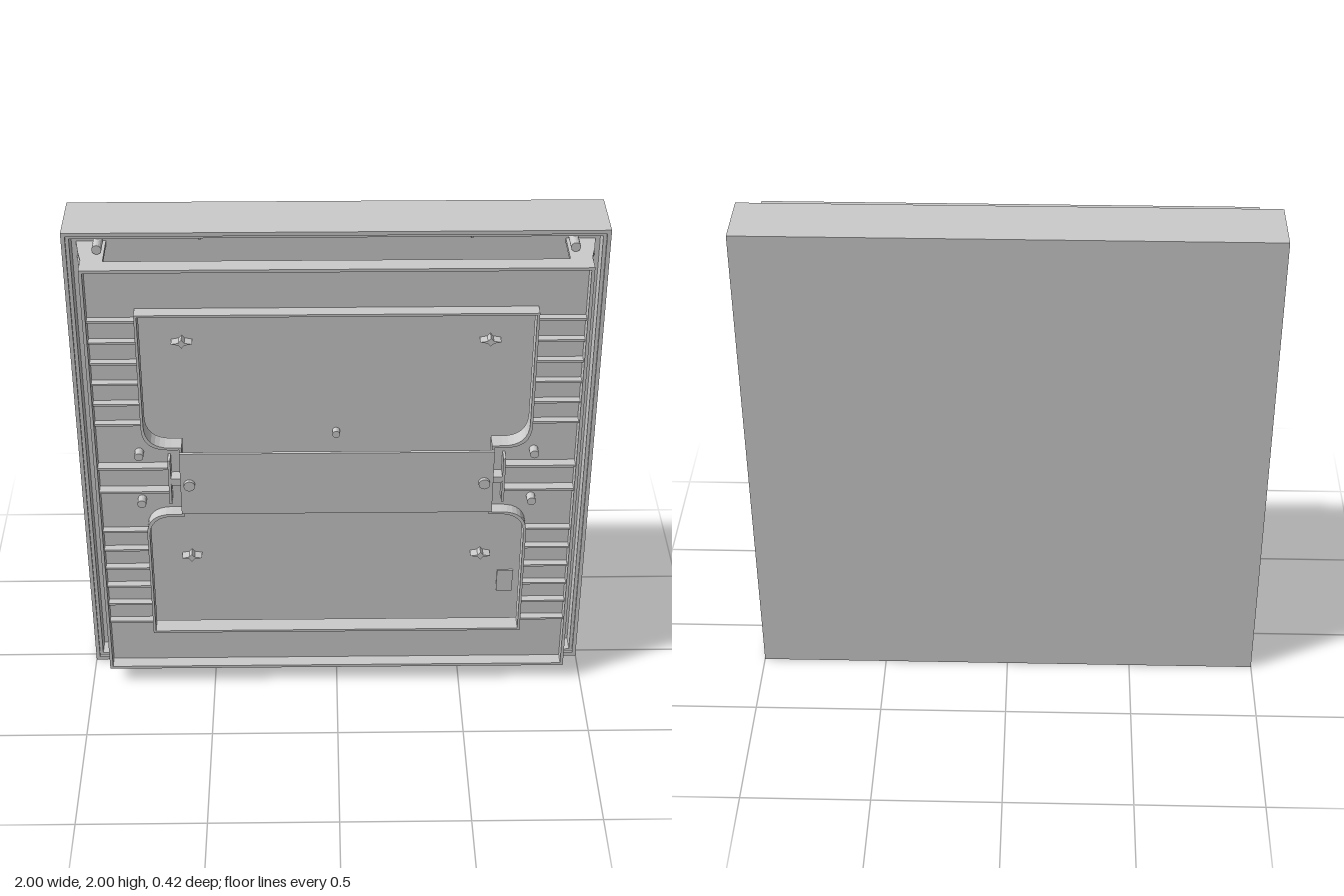
import * as THREE from 'three';

const material = new THREE.MeshStandardMaterial({ color: 0xcccccc, flatShading: true });
const SIDES = [-1, 1];
const FLOOR = -0.045; // inner face of the cover's back

export function createModel() {
  const model = new THREE.Group();
  model.name = 'coverWithMountingFrame';

  function add(name, geometry, x = 0, y = 0, z = 0) {
    const mesh = new THREE.Mesh(geometry, material);
    mesh.name = name;
    mesh.position.set(x, y, z);
    model.add(mesh);
    return mesh;
  }
  // Box given by its limits, in any order
  function box(name, x0, x1, y0, y1, z0, z1) {
    const g = new THREE.BoxGeometry(Math.abs(x1 - x0), Math.abs(y1 - y0), Math.abs(z1 - z0));
    return add(name, g, (x0 + x1) / 2, (y0 + y1) / 2, (z0 + z1) / 2);
  }
  // Cylinder along z
  function stud(name, x, y, z0, z1, r) {
    const g = new THREE.CylinderGeometry(r, r, z1 - z0, 16).rotateX(Math.PI / 2);
    return add(name, g, x, y, (z0 + z1) / 2);
  }
  function square(h) {
    return new THREE.Shape([[-h, -h], [h, -h], [h, h], [-h, h]].map(p => new THREE.Vector2(...p)));
  }
  // Band between two outlines, centred on y = 1
  function band(name, outer, inner, z0, z1) {
    outer.holes.push(inner);
    const g = new THREE.ExtrudeGeometry(outer, { depth: z1 - z0, bevelEnabled: false, curveSegments: 8 });
    return add(name, g, 0, 1, z0);
  }

  // Shallow cover: closed back, open front with a stepped edge
  box('coverBack', -1, 1, 0, 2, -0.21, FLOOR);
  band('coverWalls', square(1), square(0.985), FLOOR, 0.035);
  band('coverInnerStep', square(0.985), square(0.972), FLOOR, 0.025);

  // Waisted outline of the window through the frame
  function waisted(d) {
    const w = 0.74 - d, h = 0.74 - d, n = 0.6 - d, y = 0.15 + d, r = 0.1;
    const s = new THREE.Shape();
    s.moveTo(-w, h);
    s.lineTo(-w, y + r);
    s.quadraticCurveTo(-w, y, -w + r, y);
    s.lineTo(-n, y);
    s.lineTo(-n, -y);
    s.lineTo(-w + r, -y);
    s.quadraticCurveTo(-w, -y, -w, -y - r);
    s.lineTo(-w, -h);
    s.lineTo(w, -h);
    s.lineTo(w, -y - r);
    s.quadraticCurveTo(w, -y, w - r, -y);
    s.lineTo(n, -y);
    s.lineTo(n, y);
    s.lineTo(w - r, y);
    s.quadraticCurveTo(w, y, w, y + r);
    s.lineTo(w, h);
    return s;
  }

  // Mounting frame: open base plate, outer rim and window lip
  band('framePlate', square(0.92), waisted(0.006), 0.113, 0.13);
  band('frameRim', square(0.927), square(0.915), 0.113, 0.182);
  band('windowLip', waisted(0), waisted(0.01), 0.113, 0.182);

  // Thin crossbar bridging the window
  box('crossbar', -0.6, 0.6, 0.86, 1.14, 0.182, 0.195);

  for (const s of SIDES) {
    // Label pads in opposite corners of the cover floor
    box('labelPad', s * 0.725, s * 0.66, 1 - s * 0.605, 1 - s * 0.71, FLOOR, FLOOR + 0.008);
    // Floor studs behind the crossbar
    stud('floorStud', 0, 1 + s * 0.085, FLOOR, FLOOR + 0.03, 0.015);
  }

  // Four-pointed snap clips on the cover floor
  const star = new THREE.Shape();
  for (let i = 0; i < 8; i++) {
    const a = i * Math.PI / 4, r = i % 2 ? 0.016 : 0.04;
    const x = r * Math.cos(a), y = r * 0.45 * Math.sin(a);
    if (i) star.lineTo(x, y); else star.moveTo(x, y);
  }
  const starGeometry = new THREE.ExtrudeGeometry(star, { depth: 0.04, bevelEnabled: false });

  for (const sx of SIDES) {
    // Side ribs between rim and lip
    for (const sy of SIDES) {
      for (const d of [0.25, 0.34, 0.43, 0.52, 0.61, 0.7]) {
        const y = 1 + sy * d;
        box('sideRib', sx * 0.735, sx * 0.918, y - 0.004, y + 0.004, 0.128, 0.16);
      }
      box('latchRib', sx * 0.64, sx * 0.918, 1 + sy * 0.05, 1 + sy * 0.06, 0.128, 0.17);
      stud('screwBoss', sx * 0.755, 1 + sy * 0.11, 0.128, 0.17, 0.017);
      add('snapClip', starGeometry, sx * 0.585, 1 + sy * 0.505, FLOOR);
    }

    // Latch beside the crossbar, with its knob
    box('latchBlade', sx * 0.636, sx * 0.646, 0.9, 1.1, 0.105, 0.182);
    box('latchTongue', sx * 0.6, sx * 0.64, 0.985, 1.015, 0.13, 0.18);
    stud('latchKnob', sx * 0.565, 1, 0.19, 0.21, 0.022);
    stud('latchPin', sx * 0.54, 1, 0.105, 0.19, 0.012);

    // Corner legs joining the frame to the cover
    for (const sy of SIDES) {
      const Y = d => 1 + sy * d;
      box('cornerLegSide', sx * 0.91, sx * 0.927, Y(0.845), Y(0.927), FLOOR, 0.115);
      box('cornerLegEnd', sx * 0.845, sx * 0.927, Y(0.91), Y(0.927), FLOOR, 0.115);
      stud('cornerBoss', sx * 0.87, Y(0.945), FLOOR, 0.06, 0.018);

      // Tapered gusset outside each leg
      const fin = new THREE.Shape();
      fin.moveTo(sx * 0.925, 0.11);
      fin.lineTo(sx * 0.925, FLOOR);
      fin.lineTo(sx * 0.955, FLOOR);
      fin.lineTo(sx * 0.942, 0.035);
      const finGeometry = new THREE.ExtrudeGeometry(fin, { depth: 0.012, bevelEnabled: false });
      finGeometry.rotateX(Math.PI / 2);
      for (const d of [0.86, 0.92]) add('cornerGusset', finGeometry, 0, Y(d) + 0.006, 0);

      // Small locating pips inside the cover
      box('locatingPip', sx * 0.496, sx * 0.504, Y(0.935), Y(0.947), FLOOR, FLOOR + 0.012);
    }
  }
  return model;
}
